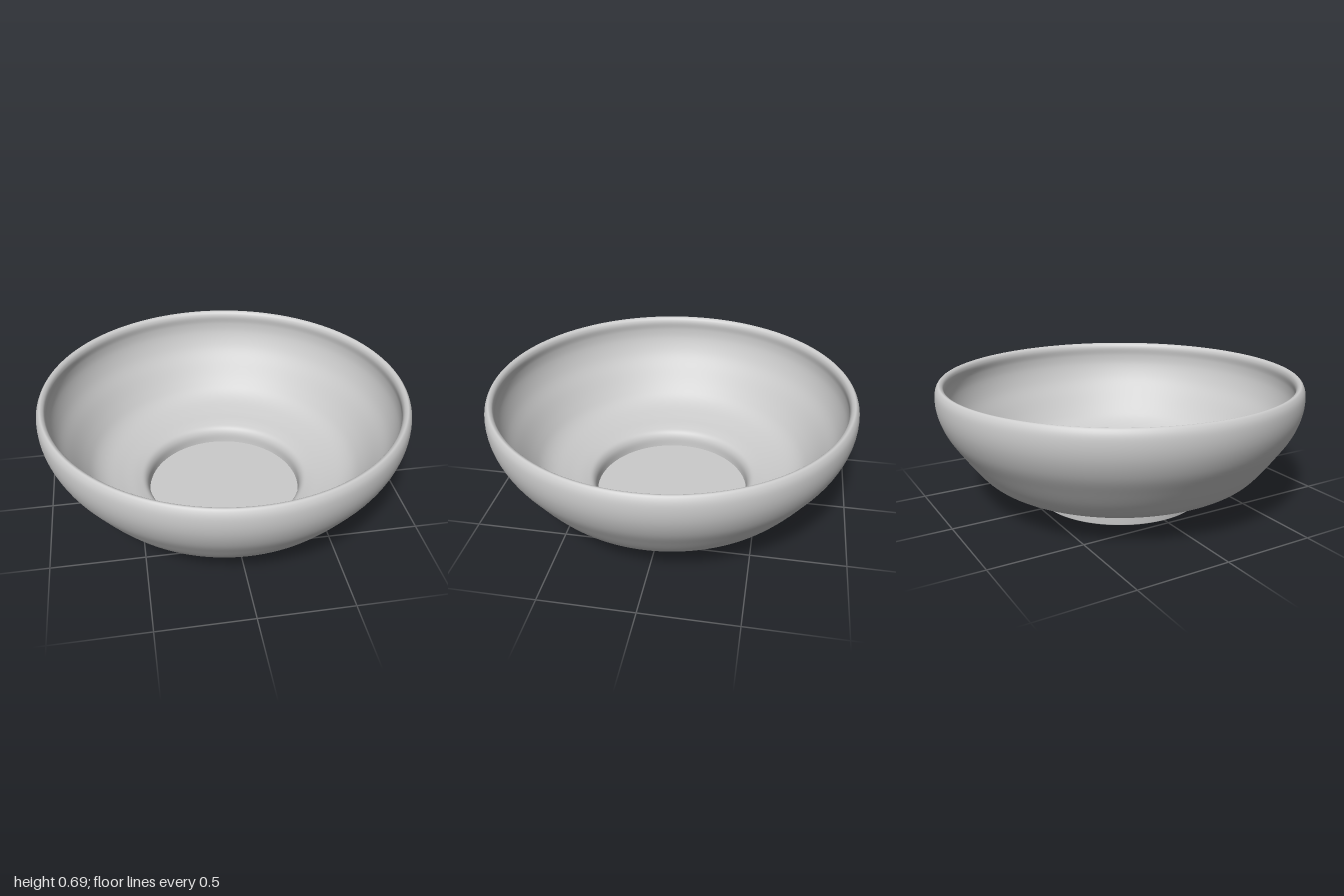
import * as THREE from 'three';

const SEGMENTS = 128;
const material = new THREE.MeshStandardMaterial({ color: 0xcccccc });

// Revolve a profile of [radius, height] points around y
function lathe(name, points) {
  const geometry = new THREE.LatheGeometry(points.map(([r, y]) => new THREE.Vector2(r, y)), SEGMENTS);
  const mesh = new THREE.Mesh(geometry, material);
  mesh.name = name;
  return mesh;
}

// Smooth a coarse profile without overshoot
function smooth(points, count) {
  const curve = new THREE.CatmullRomCurve3(points.map(([r, y]) => new THREE.Vector3(r, y, 0)), false, 'centripetal');
  return curve.getPoints(count).map((p) => [p.x, p.y]);
}

export function createModel() {
  const bowl = new THREE.Group();
  bowl.name = 'bowl';

  // Outer wall, rounded rim, inner wall and the step down into the foot
  bowl.add(lathe('bowlWall', smooth([
    [0.465, 0.09], [0.60, 0.12], [0.70, 0.15], [0.765, 0.19], [0.82, 0.25],
    [0.89, 0.345], [0.955, 0.445], [0.99, 0.535], [1.0, 0.61], [0.993, 0.665],
    [0.975, 0.69], [0.957, 0.682], [0.948, 0.66], [0.952, 0.61], [0.945, 0.55],
    [0.91, 0.46], [0.85, 0.37], [0.785, 0.28], [0.735, 0.225], [0.68, 0.19],
    [0.59, 0.16], [0.50, 0.137], [0.46, 0.12], [0.441, 0.09], [0.435, 0.03],
  ], 144)));

  // Flat inner floor
  bowl.add(lathe('floor', [[0.435, 0.03], [0, 0.03]]));

  // Foot ring with a small bevel, and its closed underside
  bowl.add(lathe('foot', [[0.462, 0], [0.468, 0.006], [0.468, 0.092]]));
  bowl.add(lathe('footBase', [[0, 0], [0.462, 0]]));

  return bowl;
}
